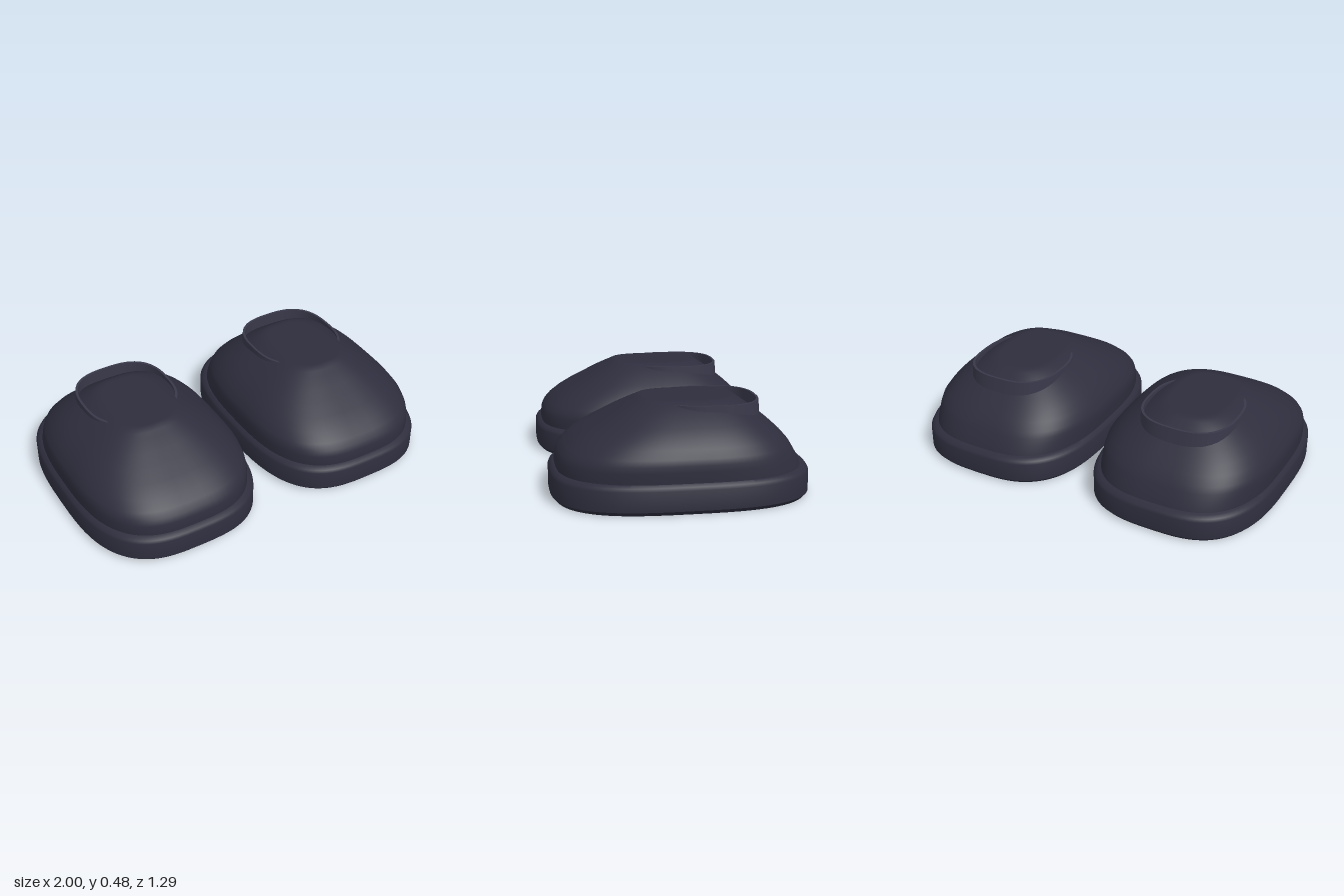
import * as THREE from 'three';
import { toCreasedNormals } from 'three/addons/utils/BufferGeometryUtils.js';

const SIDES = 96;

// Stacks rounded-rectangle rings: each ring is [y, halfWidth, frontZ, backZ].
function loft(rings, power) {
  const positions = [];
  const index = [];
  const bend = (v) => Math.sign(v) * Math.abs(v) ** (2 / power);
  rings.forEach(([y, halfWidth, front, back], r) => {
    const mid = (front + back) / 2;
    const halfLength = (front - back) / 2;
    for (let i = 0; i < SIDES; i++) {
      const a = (i / SIDES) * Math.PI * 2;
      positions.push(halfWidth * bend(Math.cos(a)), y, mid + halfLength * bend(Math.sin(a)));
      if (r === rings.length - 1) continue;
      const p = r * SIDES + i;
      const q = r * SIDES + ((i + 1) % SIDES);
      index.push(p, p + SIDES, q, q, p + SIDES, q + SIDES);
    }
  });
  const geometry = new THREE.BufferGeometry();
  geometry.setAttribute('position', new THREE.Float32BufferAttribute(positions, 3));
  geometry.setIndex(index);
  geometry.computeVertexNormals();
  return geometry;
}

export function createModel() {
  const model = new THREE.Group();
  model.name = 'shoes';
  const dark = new THREE.MeshStandardMaterial({ color: 0x2d2d3d });
  const trim = new THREE.MeshStandardMaterial({ color: 0x38384a });

  // Sole: slab with bevelled rims, closed top and bottom
  const sole = toCreasedNormals(loft([
    [0, 0, 0, 0],
    [0, 0.465, 0.63, -0.63],
    [0.02, 0.482, 0.647, -0.647],
    [0.12, 0.482, 0.647, -0.647],
    [0.135, 0.475, 0.64, -0.64],
    [0.147, 0.458, 0.622, -0.622],
    [0.147, 0, 0, 0],
  ], 3), 0.6);

  // Upper: dome leaning back, with a small flat top
  const upper = loft([
    [0.13, 0.457, 0.617, -0.612],
    [0.16, 0.457, 0.616, -0.602],
    [0.2, 0.457, 0.611, -0.582],
    [0.23, 0.455, 0.597, -0.565],
    [0.26, 0.447, 0.57, -0.547],
    [0.3, 0.42, 0.52, -0.512],
    [0.34, 0.385, 0.455, -0.468],
    [0.38, 0.34, 0.38, -0.418],
    [0.42, 0.283, 0.31, -0.365],
    [0.45, 0.235, 0.25, -0.323],
    [0.467, 0.2, 0.215, -0.298],
    [0.478, 0.174, 0.195, -0.276],
    [0.481, 0.15, 0.175, -0.25],
    [0.481, 0, -0.03, -0.03],
  ], 2.9);

  // Collar: thin upright band around the heel, sinking into the upper in front
  const collar = toCreasedNormals(loft([
    [0.36, 0.254, 0.108, -0.412],
    [0.467, 0.25, 0.104, -0.403],
    [0.467, 0.238, 0.092, -0.391],
    [0.36, 0.238, 0.092, -0.391],
  ], 2.7), 0.6);

  for (const [side, x] of [['left', 0.518], ['right', -0.518]]) {
    const shoe = new THREE.Group();
    shoe.name = `${side}Shoe`;
    shoe.position.x = x;
    for (const [name, geometry, material] of [
      ['sole', sole, dark], ['upper', upper, dark], ['collar', collar, trim],
    ]) {
      const mesh = new THREE.Mesh(geometry, material);
      mesh.name = name;
      shoe.add(mesh);
    }
    model.add(shoe);
  }
  return model;
}
